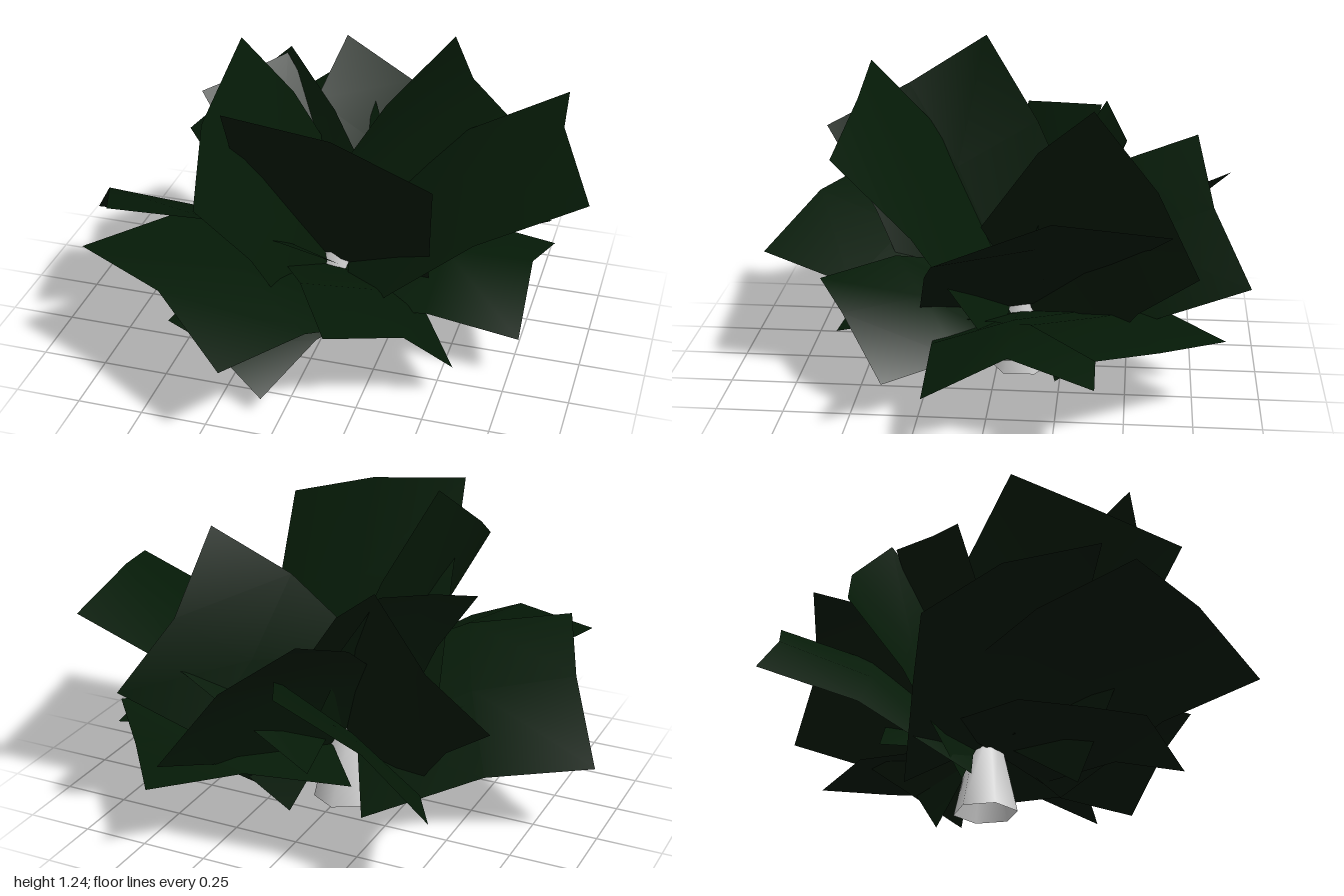
import * as THREE from 'three';

// Every leaf is a broad bent card: a common root plus its outer edge (corner, middle, corner)
const ROOT = new THREE.Vector3(0, 0.23, -0.09);
const LEAVES = {
  leftLeaf: [[-0.71, 0.68, 0.47], [-0.84, 0.57, 0.15], [-1, 0.33, -0.08]],
  frontLeaf: [[-0.12, 0.39, 0.94], [-0.4, 0.56, 0.76], [-0.76, 0.58, 0.59]],
  rightLeaf: [[0.8, 0.83, -0.65], [0.84, 0.88, -0.25], [1, 0.78, 0.13]],
  backLeaf: [[-0.14, 0.91, -0.75], [0.13, 0.71, -0.81], [0.3, 0.46, -0.95]],
  backCornerLeaf: [[-0.64, 0.37, -0.77], [-0.4, 0.58, -0.78], [-0.12, 0.77, -0.88]],
  tallFrontLeaf: [[0.52, 0.98, 0.54], [0.15, 1.1, 0.5], [-0.24, 1.15, 0.51]],
  tallSideLeaf: [[-0.28, 0.87, 0.7], [-0.36, 1.03, 0.38], [-0.31, 1.24, 0.07]],
  tallBackLeaf: [[0.39, 1.14, -0.37], [0.42, 0.86, -0.6], [0.58, 0.6, -0.75]],
  slantedLeaf: [[-0.72, 0.56, -0.42], [-0.5, 0.77, -0.48], [-0.27, 1, -0.4]],
  innerLeaf: [[-0.53, 0.92, -0.08], [-0.41, 0.95, -0.2], [-0.28, 0.98, -0.38]],
  lowBackLeaf: [[0.41, 0.3, -0.86], [0.6, 0.33, -0.62], [0.8, 0.38, -0.4]],
  lowSideLeaf: [[0.82, 0.28, -0.4], [0.78, 0.37, -0.1], [0.79, 0.21, 0.2]],
  lowCornerLeaf: [[0.58, 0.16, 0.37], [0.43, 0.37, 0.53], [0.17, 0.4, 0.66]],
  lowFrontLeaf: [[-0.07, 0.08, 0.65], [-0.3, 0.21, 0.55], [-0.53, 0.16, 0.38]],
};

// Sweep the outer edge back to the root in two bent rows, keeping its full width
function leafGeometry(edge) {
  const [a, m, b] = edge.map((p) => new THREE.Vector3(...p));
  const centre = a.clone().add(b).multiplyScalar(0.5);
  const half = a.clone().sub(b).multiplyScalar(0.5);
  const cup = m.clone().sub(centre);
  const geometry = new THREE.PlaneGeometry(1, 1, 2, 2);
  const position = geometry.attributes.position;
  [1, 0.56, 0.06].forEach((t, row) => {
    for (let col = 0; col < 3; col++) {
      const p = ROOT.clone().lerp(centre, t);
      p.addScaledVector(half, 1 - col);
      if (col === 1) p.addScaledVector(cup, t);
      if (row === 1) p.y += 0.06;
      p.y = Math.max(p.y, 0.005);
      position.setXYZ(row * 3 + col, p.x, p.y, p.z);
    }
  });
  geometry.computeVertexNormals();
  return geometry;
}

export function createModel() {
  const group = new THREE.Group();
  group.name = 'leafyPlant';

  // Short tapered stem
  const stem = new THREE.Mesh(
    new THREE.CylinderGeometry(0.05, 0.12, 0.31, 6, 1, true),
    new THREE.MeshStandardMaterial({ color: 0xcccccc, side: THREE.DoubleSide })
  );
  stem.name = 'stem';
  stem.position.set(-0.005, 0.155, -0.09);
  group.add(stem);

  // Leaves fanning out from the top of the stem
  const green = new THREE.MeshStandardMaterial({ color: 0x051a07, side: THREE.DoubleSide });
  for (const [name, edge] of Object.entries(LEAVES)) {
    const leaf = new THREE.Mesh(leafGeometry(edge), green);
    leaf.name = name;
    group.add(leaf);
  }
  return group;
}
